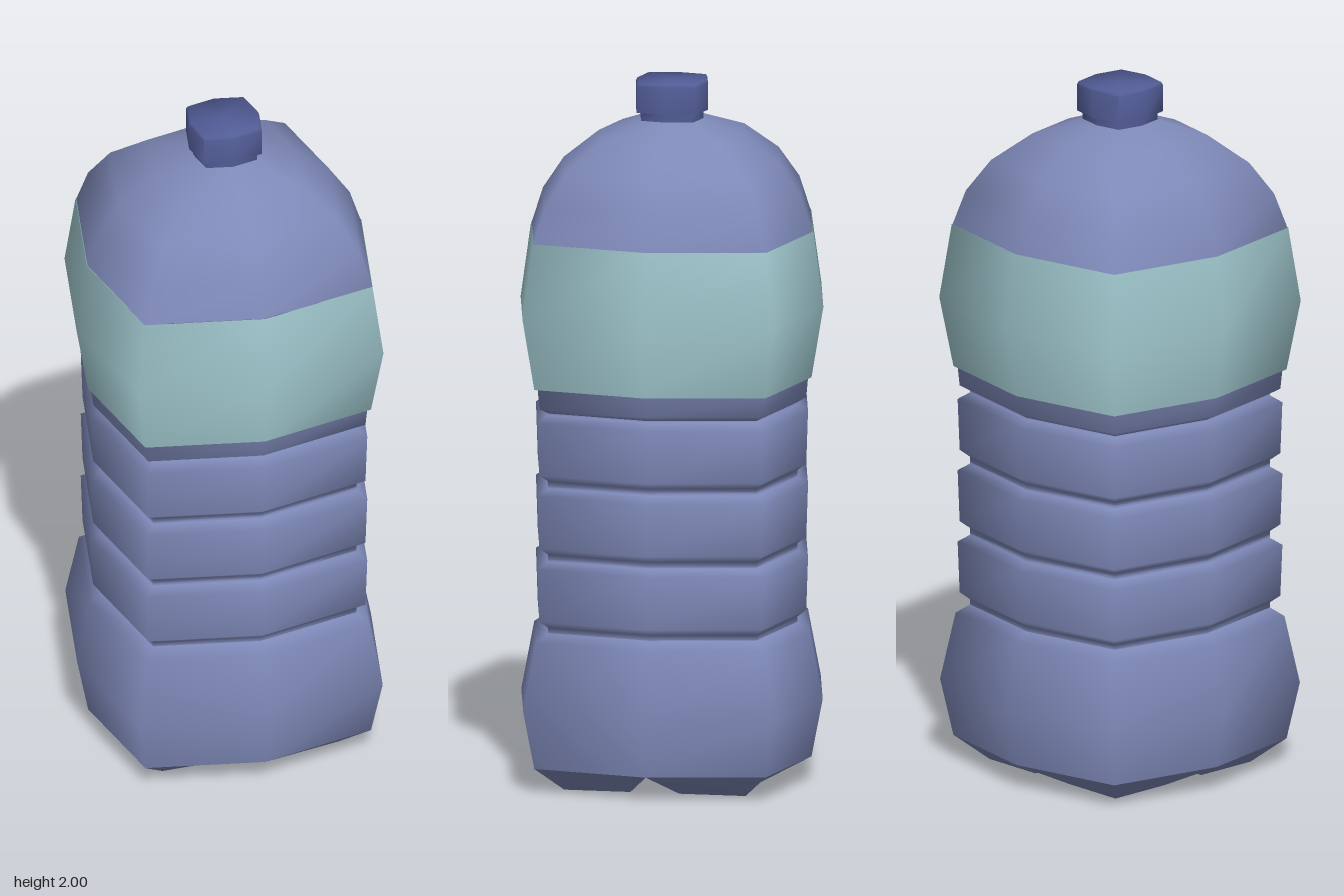
import * as THREE from 'three';
import { mergeVertices, toCreasedNormals } from 'three/addons/utils/BufferGeometryUtils.js';

const BLUE = 0x7e89b8, CAP = 0x525c96, LABEL = 0xa0c8ce;
const CORNER = 0.83; // corner x and z as a share of the half width

// Eight points of a rounded square, counter-clockwise seen from above
const OUTLINE = [[0, 1], [CORNER, CORNER], [1, 0], [CORNER, -CORNER],
  [0, -1], [-CORNER, -CORNER], [-1, 0], [-CORNER, CORNER]];

// Skin a bottom-to-top profile of [halfWidth, y]
function loft(profile, capped = false) {
  const pos = [], idx = [];
  for (const [r, y] of profile) for (const [x, z] of OUTLINE) pos.push(x * r, y, z * r);
  for (let i = 0; i < profile.length - 1; i++) {
    for (let j = 0; j < 8; j++) {
      const a = i * 8 + j, b = i * 8 + (j + 1) % 8;
      idx.push(a, b, b + 8, a, b + 8, a + 8);
    }
  }
  if (capped) {
    const last = (profile.length - 1) * 8;
    pos.push(0, profile.at(-1)[1], 0);
    for (let j = 0; j < 8; j++) idx.push(last + j, last + (j + 1) % 8, last + 8);
  }
  const g = new THREE.BufferGeometry();
  g.setAttribute('position', new THREE.Float32BufferAttribute(pos, 3));
  g.setIndex(idx);
  g.computeVertexNormals();
  return g;
}

// Four feet separated by a cross of V-shaped channels
function feetGeometry() {
  const C = [0, 0.065, 0], Mz = [0, 0.07, 0.4], Mx = [0.4, 0.07, 0];
  const K = [0.4 * CORNER, 0.07, 0.4 * CORNER], F = [0.26, 0, 0.26];
  const P = [0.07, 0, 0.07], Qz = [0.07, 0, 0.26], Qx = [0.26, 0, 0.07];
  const quads = [[C, P, Qz, Mz], [C, Mx, Qx, P], [P, Qx, F, Qz], [Mz, Qz, F, K], [K, F, Qx, Mx]];
  const pos = [];
  for (let k = 0; k < 4; k++) {
    const c = Math.round(Math.cos(k * Math.PI / 2)), s = Math.round(Math.sin(k * Math.PI / 2));
    for (const q of quads) {
      for (const i of [0, 1, 2, 0, 2, 3]) {
        const [x, y, z] = q[i];
        pos.push(x * c + z * s, y, z * c - x * s);
      }
    }
  }
  const g = new THREE.BufferGeometry();
  g.setAttribute('position', new THREE.Float32BufferAttribute(pos, 3));
  return toCreasedNormals(mergeVertices(g), 1.0);
}

export function createModel() {
  const group = new THREE.Group();
  const add = (name, geometry, color) => {
    const mesh = new THREE.Mesh(geometry,
      new THREE.MeshStandardMaterial({ color, side: THREE.DoubleSide }));
    mesh.name = name;
    group.add(mesh);
  };

  add('feet', feetGeometry(), BLUE);
  add('lowerBody', loft([[0.4, 0.07], [0.432, 0.235], [0.395, 0.43], [0.36, 0.455]]), BLUE);

  // Three ribs, each with a groove above and below
  [0.46, 0.67, 0.88].forEach((y, i) => add('rib' + (i + 1), loft([
    [0.36, y - 0.005], [0.36, y + 0.01], [0.385, y + 0.03], [0.39, y + 0.18],
    [0.36, y + 0.2], [0.36, y + 0.21],
  ]), BLUE));

  add('collar', loft([[0.36, 1.085], [0.385, 1.1], [0.39, 1.155], [0.4, 1.157]]), BLUE);
  add('label', loft([[0.4, 1.157], [0.434, 1.36], [0.404, 1.575]]), LABEL);
  add('shoulder', loft([[0.402, 1.575], [0.37, 1.675], [0.31, 1.765], [0.21, 1.845],
    [0.09, 1.89]]), BLUE);
  add('neck', loft([[0.09, 1.885], [0.09, 1.915]]), CAP);
  add('cap', toCreasedNormals(loft([[0.088, 1.912], [0.103, 1.914], [0.103, 1.992],
    [0.099, 2]], true), 1.2), CAP);
  return group;
}
